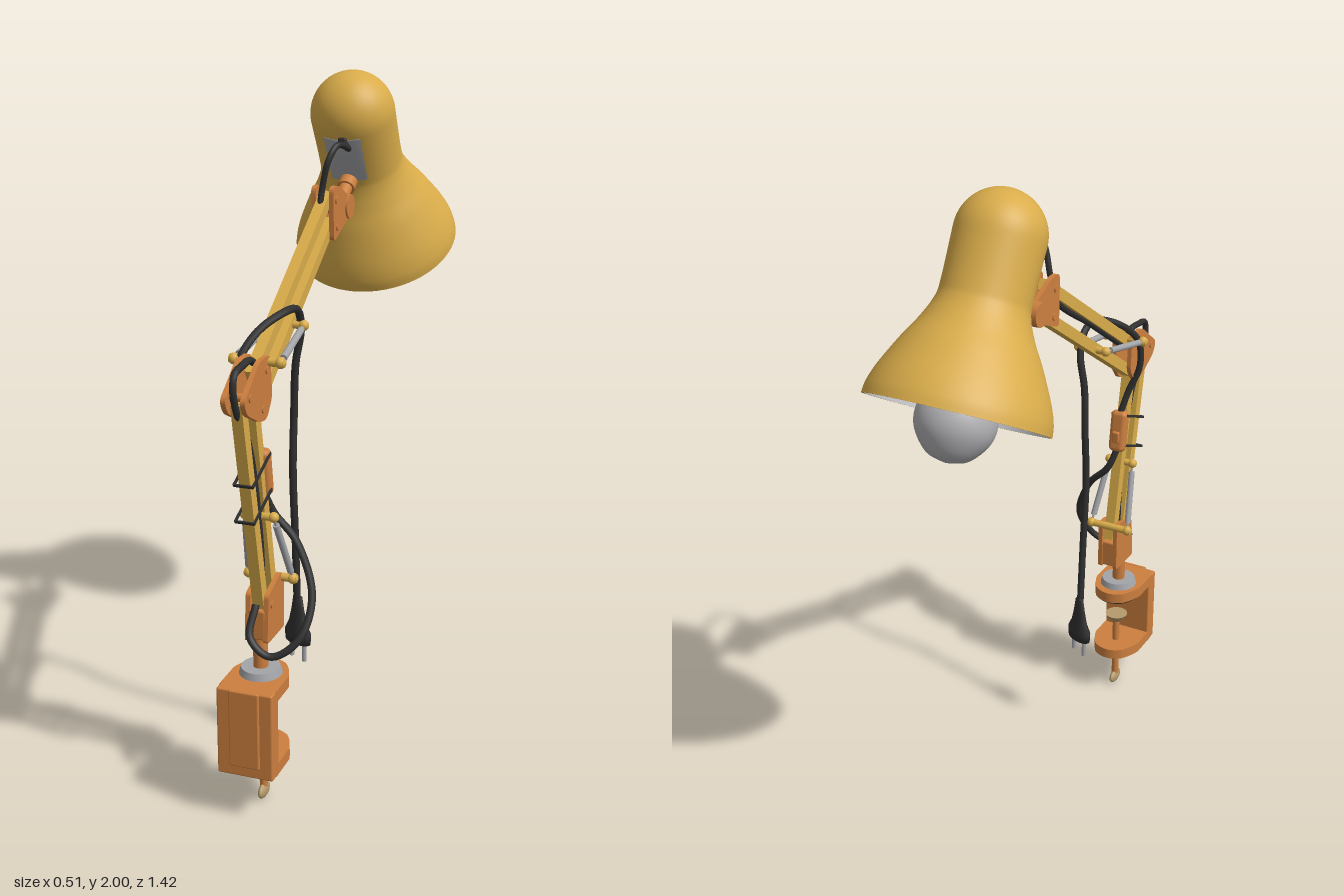
import * as THREE from 'three';
import { RoundedBoxGeometry } from 'three/addons/geometries/RoundedBoxGeometry.js';

const mat = (name, color, side = THREE.FrontSide) =>
  Object.assign(new THREE.MeshStandardMaterial({ color, side }), { name });
const V = (x, y, z) => new THREE.Vector3(x, y, z);

export function createModel() {
  const yellow = mat('yellow enamel', 0xd9ac4a);
  const orange = mat('orange metal', 0xcc7f3f);
  const black = mat('black rubber', 0x303030);
  const steel = mat('steel', 0xa3a4a8);
  const white = mat('pale lining', 0xcfcfd2);
  const glass = mat('bulb glass', 0xb0b0b3);
  const brass = mat('dull brass', 0xb59a6c);

  const root = new THREE.Group();
  root.name = 'deskLamp';
  const add = (name, geo, material, parent = root) => {
    const m = new THREE.Mesh(geo, material);
    m.name = name;
    parent.add(m);
    return m;
  };
  const box = (name, w, h, d, x, y, z, m, r = 0.006) => {
    const b = add(name, new RoundedBoxGeometry(w, h, d, 2, r), m);
    b.position.set(x, y, z);
    return b;
  };
  // Rod between two points, round or square
  const between = (mesh, a, b) => {
    mesh.position.copy(a).lerp(b, 0.5);
    mesh.quaternion.setFromUnitVectors(V(0, 1, 0), b.clone().sub(a).normalize());
    return mesh;
  };
  const rod = (name, a, b, r, m, r2 = r) =>
    between(add(name, new THREE.CylinderGeometry(r2, r, a.distanceTo(b), 20), m), a, b);
  const bar = (name, a, b) =>
    between(add(name, new THREE.BoxGeometry(0.032, a.distanceTo(b), 0.034), yellow), a, b);
  const pin = (name, y, z, half, r, m) => rod(name, V(-half, y, z), V(half, y, z), r, m);

  // Polygon with rounded corners
  const roundedShape = (pts, r) => {
    const s = new THREE.Shape();
    pts.forEach(([x, y], i) => {
      const p = new THREE.Vector2(x, y);
      const toward = j => {
        const d = new THREE.Vector2(...pts[(j + pts.length) % pts.length]).sub(p);
        return p.clone().addScaledVector(d.normalize(), r);
      };
      const a = toward(i - 1), b = toward(i + 1);
      if (i) s.lineTo(a.x, a.y); else s.moveTo(a.x, a.y);
      s.quadraticCurveTo(x, y, b.x, b.y);
    });
    s.closePath();
    return s;
  };
  // Plate drawn in the z-y plane, centred on x
  const sidePlate = (name, pts, width, x, m, r = 0.015) => {
    const g = new THREE.ExtrudeGeometry(roundedShape(pts, r), { depth: width, bevelEnabled: false, curveSegments: 6 });
    g.rotateY(-Math.PI / 2);
    g.translate(x + width / 2, 0, 0);
    return add(name, g, m);
  };
  const cheeks = (name, pts, r) => {
    for (const s of [-1, 1]) sidePlate(name, pts, 0.014, s * 0.027, orange, r);
  };
  const cable = (name, pts, r = 0.011) =>
    add(name, new THREE.TubeGeometry(new THREE.CatmullRomCurve3(pts.map(p => V(...p))), 90, r, 8), black);

  // Clamp: back plate with rib, and two tongues with rounded ends
  box('clampBack', 0.166, 0.265, 0.05, 0, 0.278, 0.643, orange);
  box('clampRib', 0.09, 0.235, 0.012, 0, 0.295, 0.669, orange, 0.005);
  const tongue = (name, y, h, m, inset = 0) => {
    const w = 0.083 - inset, s = new THREE.Shape();
    s.moveTo(-w, 0.64 - inset);
    s.lineTo(-w, 0.54);
    s.quadraticCurveTo(-w + 0.01, 0.5, -0.05, 0.47 + inset);
    s.quadraticCurveTo(0, 0.43 + inset, 0.05, 0.47 + inset);
    s.quadraticCurveTo(w - 0.01, 0.5, w, 0.54);
    s.lineTo(w, 0.64 - inset);
    s.closePath();
    const g = new THREE.ExtrudeGeometry(s, { depth: h, bevelEnabled: false });
    g.rotateX(Math.PI / 2);
    g.translate(0, y + h, 0);
    add(name, g, m);
  };
  tongue('clampTop', 0.375, 0.035, orange);
  tongue('clampBottom', 0.147, 0.035, orange);
  tongue('clampPad', 0.368, 0.008, black, 0.008);

  // Clamp screw
  rod('screwShaft', V(0, 0.04, 0.53), V(0, 0.28, 0.53), 0.012, orange);
  rod('screwCollar', V(0, 0.128, 0.53), V(0, 0.148, 0.53), 0.024, orange);
  rod('screwDisc', V(0, 0.262, 0.53), V(0, 0.288, 0.53), 0.02, brass, 0.038);
  const knob = add('screwKnob', new THREE.SphereGeometry(1, 24, 16), brass);
  knob.scale.set(0.012, 0.023, 0.036);
  knob.position.set(0, 0.026, 0.53);

  // Swivel post
  rod('swivelDisc', V(0, 0.41, 0.54), V(0, 0.43, 0.54), 0.062, steel, 0.056);
  rod('swivelPost', V(0, 0.42, 0.54), V(0, 0.53, 0.54), 0.021, orange);

  // Base bracket
  const base = [[0.572, 0.515], [0.444, 0.515], [0.444, 0.68], [0.475, 0.685], [0.56, 0.655]];
  cheeks('baseBracket', base, 0.01);
  box('baseBlock', 0.05, 0.09, 0.118, 0, 0.565, 0.508, orange);

  // Parallel arm bars
  bar('lowerArmFront', V(0, 0.61, 0.535), V(0, 1.24, 0.667));
  bar('lowerArmRear', V(0, 0.62, 0.465), V(0, 1.21, 0.58));
  bar('upperArmTop', V(0, 1.285, 0.575), V(0, 1.665, -0.01));
  bar('upperArmBottom', V(0, 1.19, 0.57), V(0, 1.585, -0.035));

  // Elbow and head brackets
  cheeks('elbowBracket', [[0.71, 1.255], [0.66, 1.29], [0.6, 1.335], [0.525, 1.335],
    [0.515, 1.215], [0.555, 1.165], [0.6, 1.17], [0.69, 1.215]], 0.02);
  cheeks('headBracket', [[0.025, 1.695], [-0.02, 1.695], [-0.145, 1.635], [-0.135, 1.595], [0.02, 1.535]], 0.02);
  for (const [y, z] of [[1.255, 0.668], [1.2, 0.58], [1.3, 0.552], [1.655, 0], [1.575, -0.01], [0.62, 0.535]])
    pin('pivotPin', y, z, 0.038, 0.011, orange);

  // Head swivel
  rod('headKnuckle', V(-0.052, 1.618, -0.115), V(0.04, 1.618, -0.115), 0.036, orange);
  rod('headStem', V(0, 1.618, -0.115), V(0, 1.7, -0.25), 0.02, orange);
  rod('headCollar', V(0, 1.66, -0.185), V(0, 1.685, -0.225), 0.027, orange);

  // Spring pairs with their cross pins
  const springs = [
    [0.88, 0.535, 0.042, 0.67, 0.455, 0.066],
    [1.36, 0.305, 0.046, 1.317, 0.535, 0.066],
  ];
  for (const [y1, z1, x1, y2, z2, x2] of springs) {
    pin('springPin', y1, z1, x1 + 0.01, 0.011, yellow);
    pin('springPin', y2, z2, x2 + 0.012, 0.012, yellow);
    for (const s of [-1, 1]) {
      const a = V(s * x1, y1, z1), b = V(s * x2, y2, z2);
      rod('springHook', a, b, 0.004, steel);
      rod('spring', a.clone().lerp(b, 0.12), a.clone().lerp(b, 0.88), 0.01, steel);
      for (const [p, r] of [[a, 0.015], [b, 0.016]])
        add('springEnd', new THREE.SphereGeometry(r, 14, 10), yellow).position.copy(p);
    }
  }

  // Inline switch and cable ties
  const sw = box('switchBody', 0.056, 0.14, 0.04, 0, 1.0, 0.512, orange, 0.016);
  sw.rotation.x = 0.15;
  box('switchButton', 0.026, 0.04, 0.014, 0, 0.985, 0.49, orange);
  for (const [y, z] of [[1.03, 0.58], [0.925, 0.575]]) {
    const tie = new THREE.Group();
    tie.name = 'cableTie';
    tie.position.set(0, y, z);
    tie.rotation.x = 0.4;
    for (const s of [-1, 1]) {
      add('tieSide', new THREE.BoxGeometry(0.005, 0.008, 0.14), black, tie).position.x = s * 0.027;
      add('tieEnd', new THREE.BoxGeometry(0.056, 0.008, 0.005), black, tie).position.z = s * 0.069;
    }
    root.add(tie);
  }

  // Cables
  cable('headCable', [[0.01, 1.8, -0.14], [0.04, 1.79, -0.09], [0.042, 1.805, -0.04], [0.035, 1.81, 0],
    [0.02, 1.77, 0.03], [0, 1.68, 0.03], [0, 1.6, 0.06], [0, 1.44, 0.3], [0, 1.29, 0.53]], 0.009);
  cable('elbowCable', [[0, 1.29, 0.53], [0, 1.33, 0.58], [0, 1.33, 0.64], [0, 1.32, 0.69], [0, 1.28, 0.7],
    [0, 1.22, 0.68], [0, 1.1, 0.6], [0, 0.8, 0.53], [0, 0.62, 0.52]], 0.01);
  cable('loopCable', [[0, 0.94, 0.505], [0.025, 0.87, 0.485], [0.09, 0.8, 0.49], [0.15, 0.66, 0.53],
    [0.13, 0.55, 0.59], [0.06, 0.505, 0.62], [0, 0.55, 0.615], [0, 0.63, 0.57]]);
  cable('plugCable', [[0, 1.06, 0.52], [-0.02, 1.14, 0.54], [-0.05, 1.22, 0.55], [-0.05, 1.31, 0.54],
    [-0.02, 1.38, 0.48], [0.03, 1.42, 0.39], [0.035, 1.405, 0.32], [0.03, 1.34, 0.285], [0.01, 1.24, 0.275],
    [0, 1.08, 0.265], [0, 0.92, 0.276], [0, 0.7, 0.26], [-0.005, 0.49, 0.235]]);
  box('cableGrommet', 0.026, 0.03, 0.03, 0.005, 1.8, -0.145, black);

  // Plug with two prongs
  const plug = new THREE.Group();
  plug.name = 'plug';
  plug.position.set(-0.005, 0, 0.23);
  plug.rotation.y = -0.49;
  root.add(plug);
  const body = new THREE.LatheGeometry([[0, 0.36], [0.05, 0.36], [0.052, 0.39], [0.036, 0.42], [0.026, 0.46],
    [0.018, 0.505], [0, 0.51]].map(p => new THREE.Vector2(...p)), 20);
  add('plugBody', body, black, plug).scale.z = 0.5;
  for (const s of [-1, 1]) {
    const p = add('plugProng', new THREE.CylinderGeometry(0.007, 0.007, 0.065, 10), steel, plug);
    p.position.set(s * 0.028, 0.335, 0);
  }

  // Shade: local y runs up the axis from the rim
  const head = new THREE.Group();
  head.name = 'lampHead';
  head.position.set(0, 1.453, -0.488);
  head.rotation.x = 0.519;
  root.add(head);
  const v2 = pts => pts.map(p => new THREE.Vector2(...p));
  const profile = new THREE.SplineCurve(v2([[0.257, 0], [0.252, 0.035], [0.233, 0.087], [0.19, 0.172],
    [0.155, 0.232], [0.13, 0.29], [0.125, 0.34], [0.127, 0.484]])).getPoints(50);
  for (let i = 1; i <= 16; i++) {
    const a = (i / 16) * Math.PI / 2;
    profile.push(new THREE.Vector2(Math.max(0, 0.127 * Math.cos(a)), 0.484 + 0.127 * Math.sin(a)));
  }
  const lining = profile.map(p => new THREE.Vector2(Math.max(0, p.x - 0.007), Math.max(0, p.y - (p.y > 0.484 ? 0.007 : 0))));
  add('shade', new THREE.LatheGeometry(profile, 64), yellow, head);
  add('shadeLining', new THREE.LatheGeometry(lining.reverse(), 64), white, head);
  add('shadeRim', new THREE.LatheGeometry(v2([[0.249, 0], [0.257, 0]]), 64), yellow, head);
  add('shadePlate', new THREE.LatheGeometry(v2([[0.124, 0.33], [0.13, 0.332], [0.131, 0.478], [0.124, 0.48]]),
    16, -0.45, 0.9), steel, head);

  // Bulb and socket
  add('bulb', new THREE.LatheGeometry(new THREE.SplineCurve(v2([[0, -0.128], [0.055, -0.113], [0.098, -0.065],
    [0.112, -0.015], [0.1, 0.04], [0.065, 0.1], [0.04, 0.16], [0.036, 0.22]])).getPoints(40), 40), glass, head);
  add('socket', new THREE.CylinderGeometry(0.05, 0.05, 0.26, 24), white, head).position.y = 0.34;

  return root;
}
